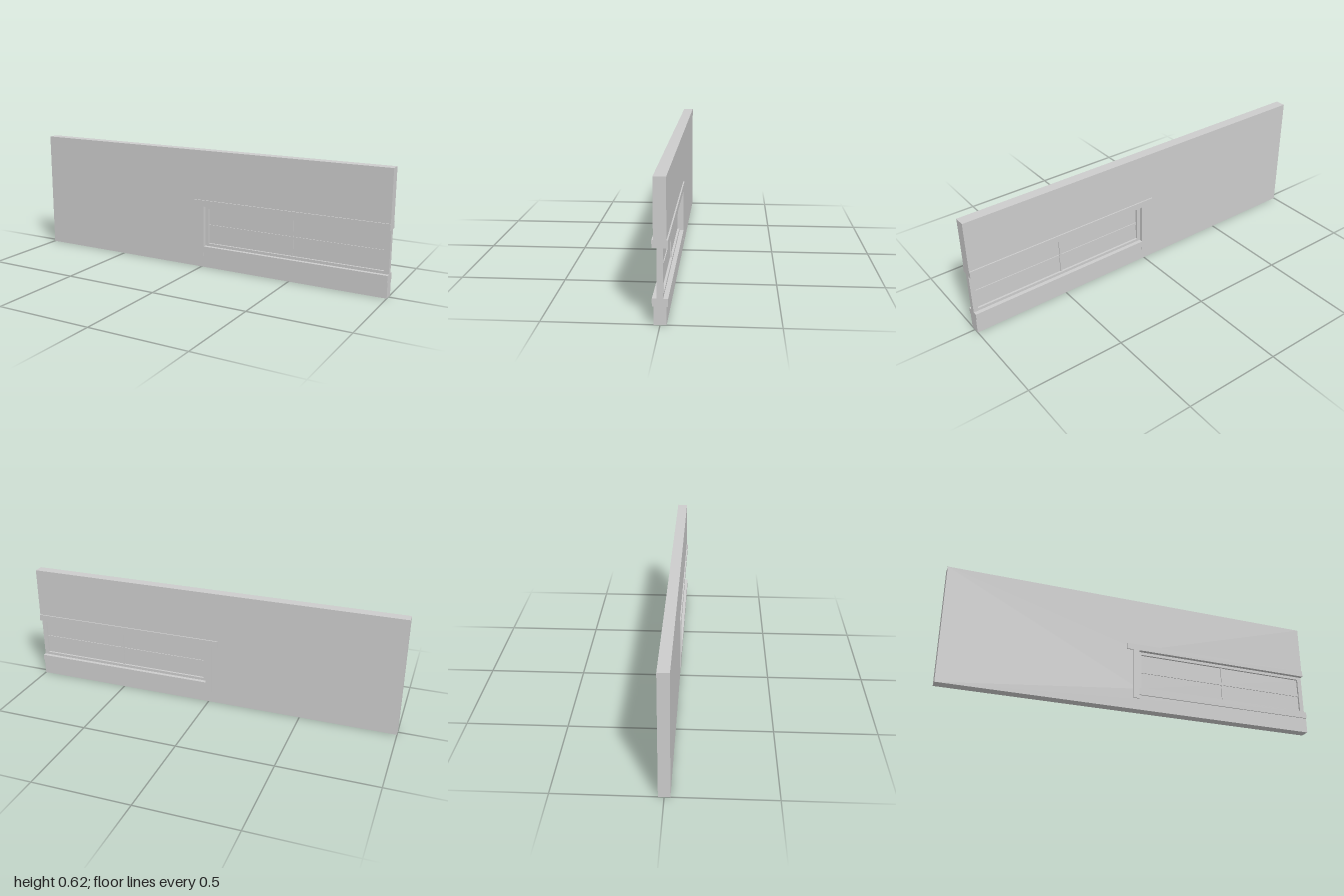
import * as THREE from 'three';

const material = new THREE.MeshStandardMaterial({ color: 0xcccccc, flatShading: true });

// Box given by its limits, centred on z = zMid
function block(name, x0, x1, y0, y1, depth, zMid = 0) {
  const mesh = new THREE.Mesh(new THREE.BoxGeometry(x1 - x0, y1 - y0, depth), material);
  mesh.position.set((x0 + x1) / 2, (y0 + y1) / 2, zMid);
  mesh.name = name;
  return mesh;
}

// Flat outline extruded symmetrically about z = 0
function slab(name, shape, depth) {
  const geometry = new THREE.ExtrudeGeometry(shape, { depth, bevelEnabled: false });
  geometry.translate(0, 0, -depth / 2);
  const mesh = new THREE.Mesh(geometry, material);
  mesh.name = name;
  return mesh;
}

const outline = (points) => points.map(([x, y]) => new THREE.Vector2(x, y));
const rectangle = (x0, x1, y0, y1) => outline([[x0, y0], [x1, y0], [x1, y1], [x0, y1]]);

export function createModel() {
  const model = new THREE.Group();
  model.name = 'wallWithWindow';

  const wallDepth = 0.054, trimFace = 0.0335;
  const left = 0.016, right = 1, bottom = 0.114, top = 0.329;

  // Wall, with the window opening running out through its +x end
  model.add(slab('wall', new THREE.Shape(outline([
    [-1, 0], [1, 0], [1, bottom], [left, bottom], [left, top], [1, top], [1, 0.622], [-1, 0.622],
  ])), wallDepth));

  // Trim on both faces
  const trimDepth = trimFace - wallDepth / 2;
  for (const side of [1, -1]) {
    const z = side * (wallDepth + trimDepth * 2) / 2 - side * trimDepth / 2;
    const trim = new THREE.Group();
    trim.name = side > 0 ? 'frontTrim' : 'backTrim';
    trim.add(
      block('headTrim', -0.05, right, top, 0.362, trimDepth, z),
      block('sideTrim', -0.016, left, 0.06, top, trimDepth, z),
      block('sillTrim', left, right, 0.08, bottom, trimDepth, z),
    );
    model.add(trim);
  }

  // Window frame, glass and glazing bars
  const inner = [0.035, 0.976, 0.128, 0.314];
  const frame = new THREE.Shape(rectangle(left, right, bottom, top));
  frame.holes.push(new THREE.Path(rectangle(...inner)));
  const window = new THREE.Group();
  window.name = 'window';
  window.add(
    slab('windowFrame', frame, 0.026),
    block('glass', ...inner, 0.004),
    block('verticalBar', 0.501, 0.511, inner[2], inner[3], 0.014),
    block('horizontalBar', inner[0], inner[1], 0.214, 0.228, 0.012),
  );
  model.add(window);

  return model;
}
